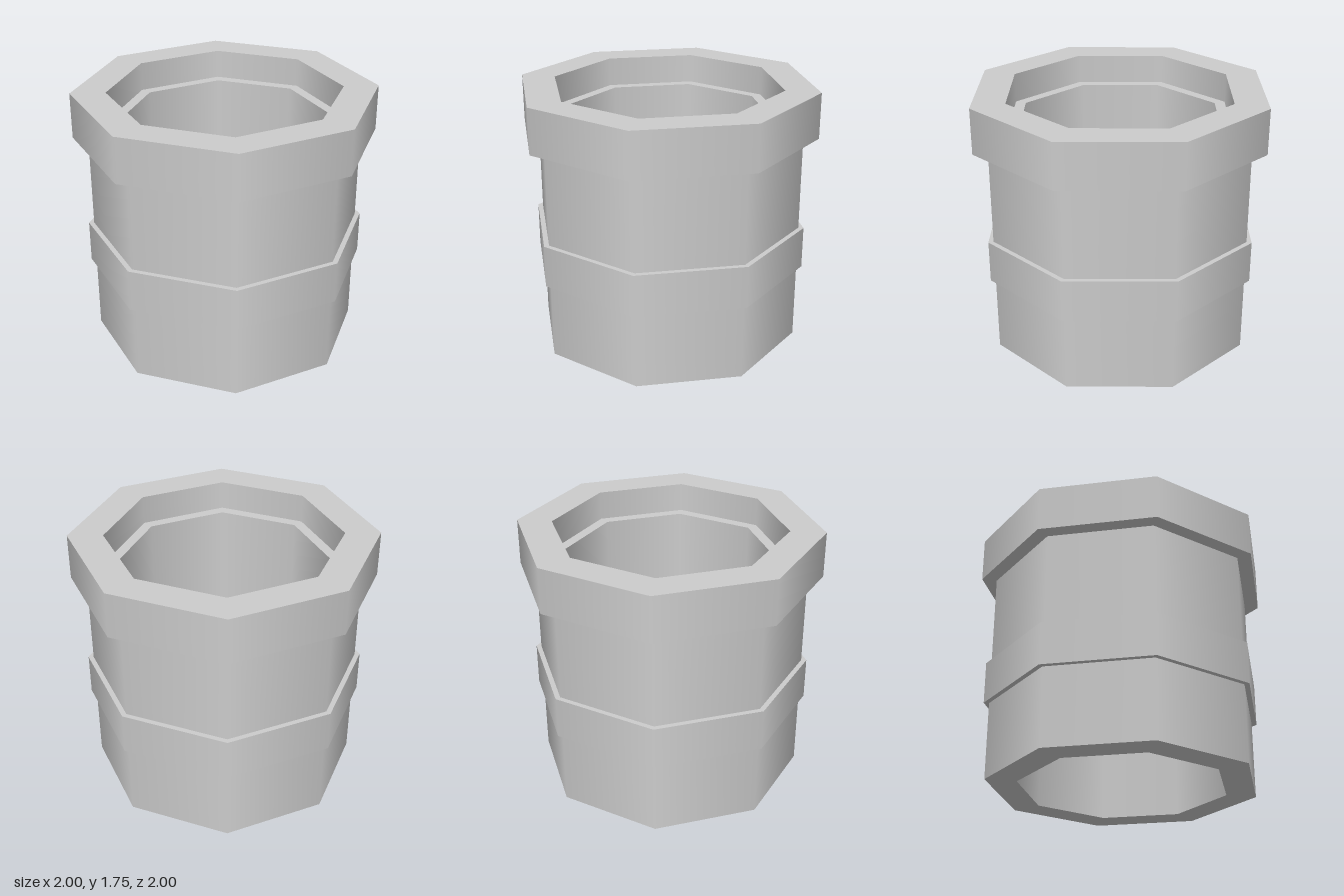
import * as THREE from 'three';
import { mergeGeometries } from 'three/addons/utils/BufferGeometryUtils.js';

const SIDES = 8;
const material = new THREE.MeshStandardMaterial({ color: 0xcccccc });

// Turns a profile of [radius, height] points into an octagonal ring.
// Each straight piece is its own lathe: smooth around, sharp at the rims.
function ring(name, profile) {
  const pieces = [];
  for (let i = 0; i < profile.length - 1; i++) {
    const ends = [profile[i], profile[i + 1]].map(([r, y]) => new THREE.Vector2(r, y));
    pieces.push(new THREE.LatheGeometry(ends, SIDES));
  }
  const mesh = new THREE.Mesh(mergeGeometries(pieces), material);
  mesh.name = name;
  return mesh;
}

export function createModel() {
  const model = new THREE.Group();
  model.name = 'pipe';

  // Hollow body: bore, bottom face and outer wall
  model.add(ring('pipeBody', [[0.695, 1.55], [0.695, 0], [0.9, 0], [0.9, 1.44]]));

  // Raised band around the body
  model.add(ring('middleBand', [[0.9, 0.52], [0.935, 0.52], [0.935, 0.805], [0.9, 0.805]]));

  // Wide top collar with a recessed ledge inside the mouth
  model.add(ring('topCollar', [
    [0.9, 1.44], [1, 1.44], [1, 1.745], [0.77, 1.745], [0.77, 1.55], [0.695, 1.55],
  ]));

  return model;
}
